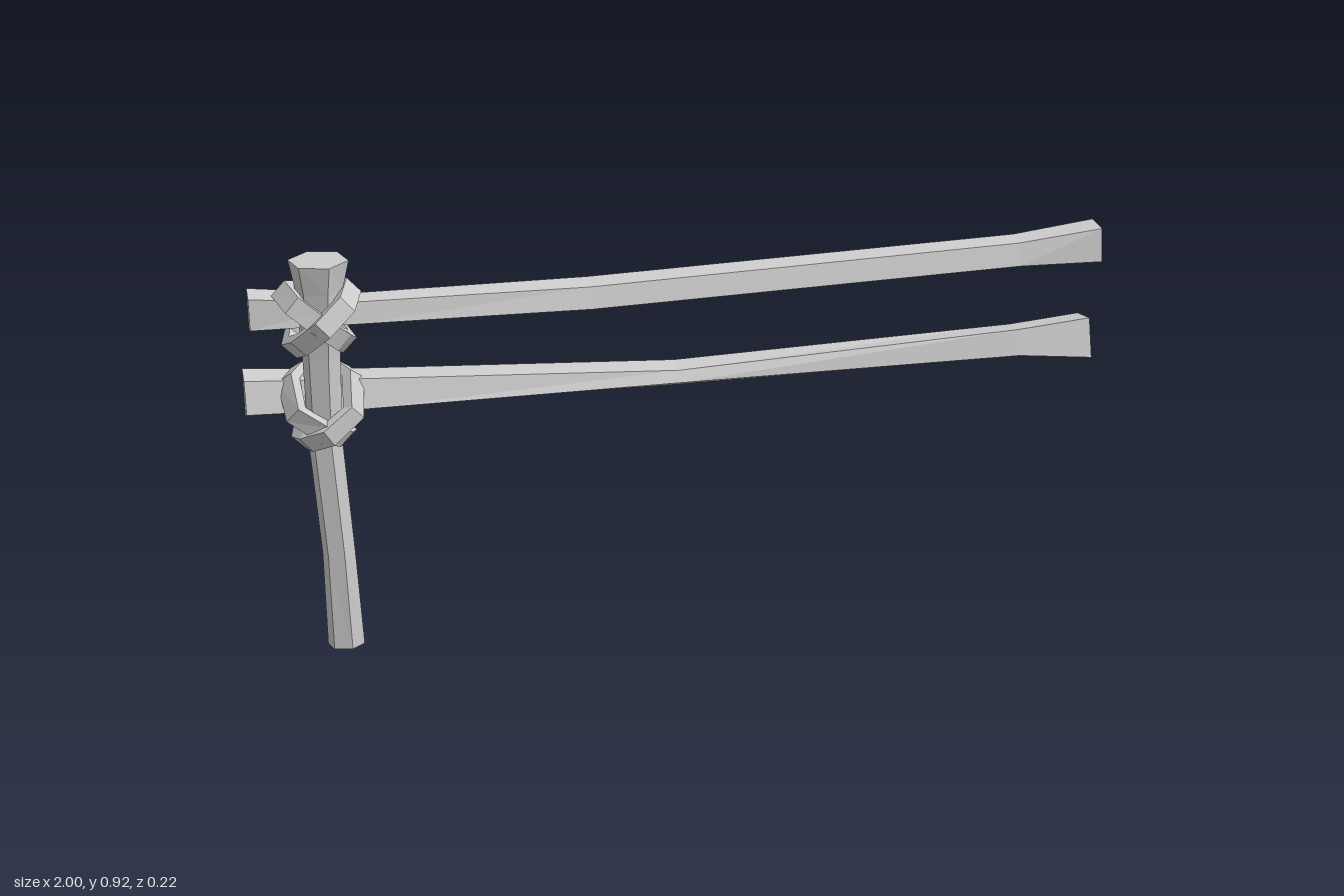
import * as THREE from 'three';

const material = new THREE.MeshStandardMaterial({ color: 0xcccccc, flatShading: true });

// Skin a list of equal-sized rings; either cap both ends or join the last to the first.
function loft(name, rings, closed = false) {
  const n = rings[0].length, m = rings.length, tris = [];
  const quad = (a, b, c, d) => tris.push([a, b, c], [a, c, d]);
  for (let i = 0; i < (closed ? m : m - 1); i++) {
    const p = rings[i], q = rings[(i + 1) % m];
    for (let j = 0; j < n; j++) {
      const k = (j + 1) % n;
      quad(p[j], p[k], q[k], q[j]);
    }
  }
  if (!closed) {
    for (let j = 1; j < n - 1; j++) {
      tris.push([rings[0][0], rings[0][j + 1], rings[0][j]]);
      tris.push([rings[m - 1][0], rings[m - 1][j], rings[m - 1][j + 1]]);
    }
  }
  // Turn the faces outwards if the enclosed volume is negative.
  const volume = tris.reduce((s, [a, b, c]) => s + a.dot(b.clone().cross(c)), 0);
  if (volume < 0) tris.forEach((t) => t.reverse());
  const geometry = new THREE.BufferGeometry().setFromPoints(tris.flat());
  geometry.computeVertexNormals();
  const mesh = new THREE.Mesh(geometry, material);
  mesh.name = name;
  return mesh;
}

// Six-sided post; each row is y, centre x, centre z, radius x, radius z.
function post() {
  const rows = [
    [0, -0.813, 0.032, 0.042, 0.034],
    [0.23, -0.818, 0.03, 0.037, 0.034],
    [0.5, -0.833, 0.021, 0.038, 0.037],
    [0.7, -0.831, 0.021, 0.042, 0.043],
    [0.85, -0.828, 0.016, 0.052, 0.06],
    [0.915, -0.826, 0.016, 0.066, 0.068],
  ];
  return loft('post', rows.map(([y, cx, cz, rx, rz]) =>
    Array.from({ length: 6 }, (_, i) => {
      const a = (i / 6) * Math.PI * 2 + 0.25;
      return new THREE.Vector3(cx + rx * Math.cos(a), y, cz + rz * Math.sin(a));
    })));
}

// Four-sided rail; each row is x, then (y, z) of top front, top back, bottom back, bottom front.
function rail(name, rows) {
  return loft(name, rows.map(([x, ...c]) =>
    [0, 2, 4, 6].map((i) => new THREE.Vector3(x, c[i], c[i + 1]))));
}

// Flat strap following a closed path around the post.
function strap(name, path, width, thickness) {
  const pts = path.map((p) => new THREE.Vector3(...p));
  const n = pts.length;
  const centre = pts.reduce((s, p) => s.add(p), new THREE.Vector3()).divideScalar(n);
  return loft(name, pts.map((p, i) => {
    const tangent = pts[(i + 1) % n].clone().sub(pts[(i + n - 1) % n]).normalize();
    const out = p.clone().sub(centre);
    out.addScaledVector(tangent, -out.dot(tangent)).normalize();
    const side = tangent.clone().cross(out);
    return [[-1, -1], [1, -1], [1, 1], [-1, 1]].map(([s, t]) =>
      p.clone().addScaledVector(side, s * width / 2).addScaledVector(out, t * thickness / 2));
  }), true);
}

// Two crossing straps, the second mirrored across the post and pulled in a little.
function lashing(name, path) {
  const group = new THREE.Group();
  group.name = name;
  const mirrored = path.map(([x, y, z]) => [-1.665 - x, y + 0.004, z * 0.88]);
  group.add(strap('strapRising', path, 0.045, 0.026));
  group.add(strap('strapFalling', mirrored, 0.045, 0.026));
  return group;
}

export function createModel() {
  const model = new THREE.Group();
  model.name = 'fence';
  model.add(post());

  model.add(rail('upperRail', [
    [-0.98, 0.835, 0.012, 0.845, -0.037, 0.75, -0.045, 0.765, 0.016],
    [-0.75, 0.808, 0.0, 0.815, -0.042, 0.745, -0.045, 0.76, 0.01],
    [-0.22, 0.79, -0.035, 0.8, -0.08, 0.728, -0.075, 0.742, -0.02],
    [0.8, 0.812, -0.055, 0.82, -0.1, 0.748, -0.095, 0.76, -0.04],
    [1, 0.835, -0.048, 0.84, -0.11, 0.76, -0.108, 0.757, -0.037],
  ]));
  model.add(rail('lowerRail', [
    [-1, 0.64, -0.01, 0.65, -0.065, 0.535, -0.07, 0.57, 0.015],
    [-0.75, 0.625, -0.01, 0.63, -0.065, 0.538, -0.06, 0.56, 0.01],
    [-0.02, 0.575, -0.03, 0.583, -0.08, 0.525, -0.07, 0.55, -0.015],
    [0.8, 0.607, -0.03, 0.6, -0.09, 0.522, -0.08, 0.547, -0.015],
    [0.977, 0.62, -0.035, 0.607, -0.11, 0.51, -0.088, 0.53, -0.008],
  ]));

  model.add(lashing('upperLashing', [
    [-0.83, 0.785, 0.095], [-0.78, 0.825, 0.07], [-0.76, 0.84, 0.0], [-0.785, 0.825, -0.045],
    [-0.83, 0.775, -0.075], [-0.88, 0.72, -0.06], [-0.89, 0.715, 0.0], [-0.875, 0.74, 0.06],
  ]));
  model.add(lashing('lowerLashing', [
    [-0.83, 0.53, 0.075], [-0.77, 0.57, 0.05], [-0.762, 0.628, -0.02], [-0.785, 0.635, -0.07],
    [-0.835, 0.56, -0.095], [-0.87, 0.495, -0.075], [-0.88, 0.495, -0.01], [-0.87, 0.51, 0.045],
  ]));
  return model;
}
